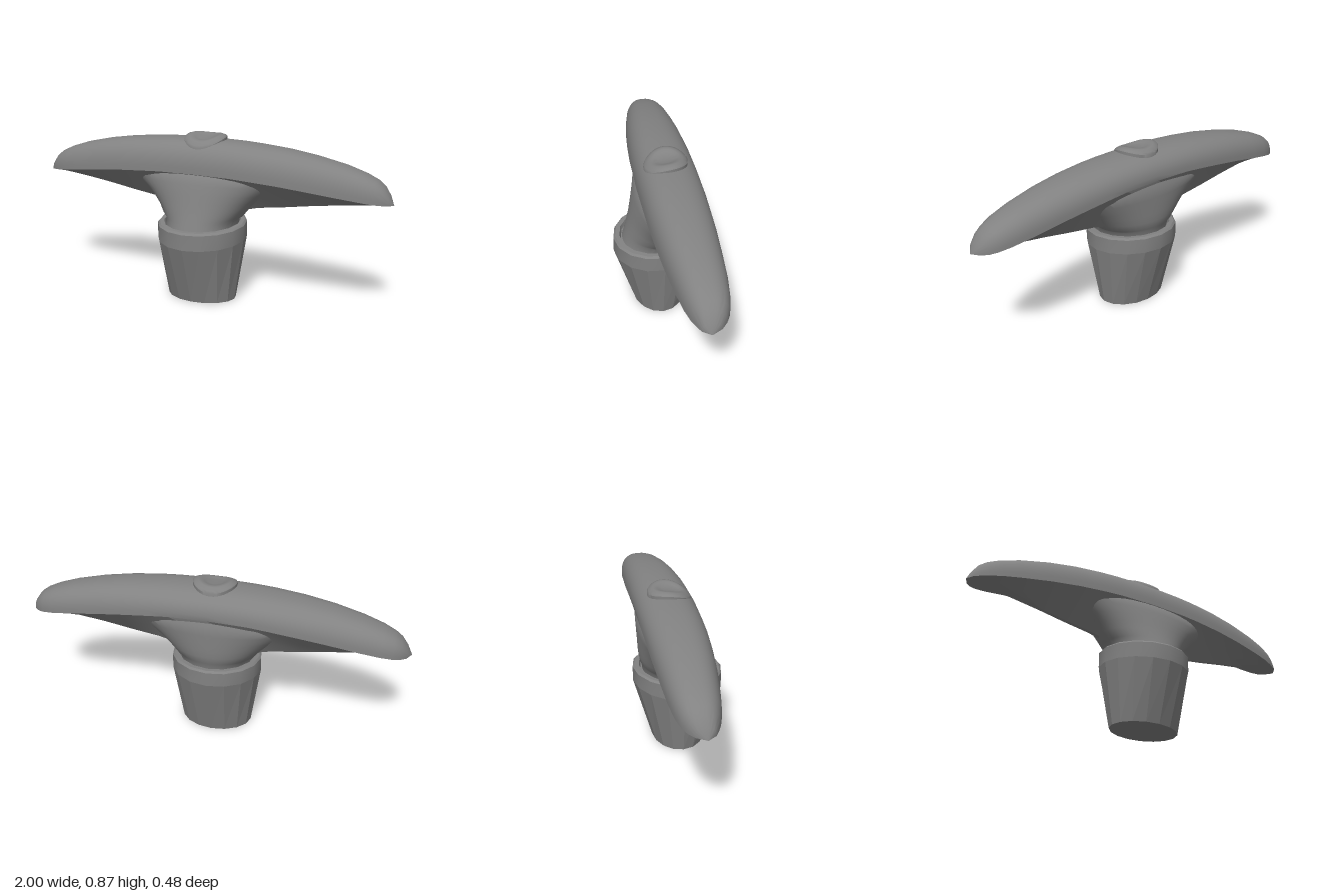
import * as THREE from 'three';
import { toCreasedNormals } from 'three/addons/utils/BufferGeometryUtils.js';

// Skin a list of closed rings, each an array of [x, y, z].
function loft(rings, crease) {
  const n = rings[0].length, index = [];
  for (let i = 0; i < rings.length - 1; i++) {
    for (let j = 0; j < n; j++) {
      const k = (j + 1) % n, a = i * n, b = a + n;
      index.push(a + j, b + j, a + k, b + j, b + k, a + k);
    }
  }
  const g = new THREE.BufferGeometry();
  g.setAttribute('position', new THREE.Float32BufferAttribute(rings.flat(2), 3));
  g.setIndex(index);
  return toCreasedNormals(g, crease);
}

// Horizontal oval ring; tilt raises the back.
function oval(y, rx, zFront, zBack, tilt, sides) {
  const ring = [], zc = (zFront + zBack) / 2, rz = (zFront - zBack) / 2;
  for (let i = 0; i < sides; i++) {
    const a = (i / sides) * Math.PI * 2;
    const z = zc + rz * Math.sin(a);
    ring.push([rx * Math.cos(a), y - tilt * z, z]);
  }
  return ring;
}

// Cross-section of the grip: rounded dome above, narrow keel below.
function gripSection([x, zf, zb, yf, yb, top, keel]) {
  const ring = [], steps = 24, e = 2 / 2.5;
  const zc = (zf + zb) / 2, w = (zf - zb) / 2;
  for (let i = 0; i <= steps; i++) {
    const a = (i / steps) * Math.PI, c = Math.cos(a), s = Math.max(0, Math.sin(a));
    const u = Math.sign(c) * Math.abs(c) ** e;
    const edge = (yf + yb) / 2 + ((yf - yb) / 2) * u;
    ring.push([x, edge + (top - edge) * s ** e, zc + w * u]);
  }
  const k = -0.06, r = w * 0.07;
  const mix = (p, q, t) => p + (q - p) * t;
  ring.push([x, mix(yb, keel, 0.5), mix(zb, k, 0.5)]);
  ring.push([x, keel, k - r], [x, keel, k + r]);
  ring.push([x, mix(yf, keel, 0.5), mix(zf, k, 0.5)]);
  return ring;
}

export function createModel() {
  const group = new THREE.Group();
  const smooth = new THREE.MeshStandardMaterial({ color: 0x828282, side: THREE.DoubleSide });
  const faceted = smooth.clone();
  faceted.flatShading = true;
  const add = (name, geometry, material = smooth) => {
    const mesh = new THREE.Mesh(geometry, material);
    mesh.name = name;
    group.add(mesh);
    return mesh;
  };

  // Crossbar grip: x, front z, back z, front edge y, back edge y, top y, keel y
  const half = [
    [0, 0.107, -0.21, 0.682, 0.72, 0.85, 0.475],
    [0.2, 0.103, -0.209, 0.679, 0.715, 0.845, 0.48],
    [0.3, 0.1, -0.207, 0.673, 0.705, 0.839, 0.505],
    [0.45, 0.09, -0.204, 0.662, 0.688, 0.825, 0.526],
    [0.6, 0.075, -0.197, 0.646, 0.667, 0.802, 0.55],
    [0.75, 0.053, -0.188, 0.627, 0.642, 0.769, 0.57],
    [0.85, 0.034, -0.175, 0.614, 0.624, 0.737, 0.581],
    [0.91, 0.015, -0.158, 0.605, 0.612, 0.71, 0.588],
    [0.945, -0.002, -0.138, 0.601, 0.604, 0.685, 0.592],
    [0.975, -0.02, -0.11, 0.598, 0.599, 0.643, 0.595],
    [1, -0.06, -0.06, 0.595, 0.595, 0.595, 0.595],
  ];
  const mirrored = half.slice(1).reverse().map(([x, ...rest]) => [-x, ...rest]);
  add('grip', loft([...mirrored, ...half].map(gripSection), 0.6));

  // Stem flaring widely into the underside of the grip
  const stem = [
    [0.395, 0.195, 0.19, -0.185, 0.06],
    [0.44, 0.2, 0.175, -0.19, 0.04],
    [0.456, 0.222, 0.169, -0.197, 0.02],
    [0.5, 0.255, 0.155, -0.204, 0],
    [0.54, 0.295, 0.145, -0.206, 0],
    [0.58, 0.34, 0.135, -0.207, 0],
    [0.63, 0.415, 0.122, -0.208, 0],
    [0.68, 0.5, 0.105, -0.208, 0],
    [0.72, 0.4, 0.06, -0.19, 0],
  ];
  add('stem', loft(stem.map((s) => oval(...s, 48)), 0.9));

  // Faceted tapering plug with an oval foot
  const sides = 16;
  add('plug', loft([
    oval(0, 0, 0, 0, 0, sides),
    oval(0, 0.19, 0.14, -0.14, 0, sides),
    oval(0.33, 0.238, 0.238, -0.238, 0.085, sides),
  ], 0.1), faceted);

  // Smooth slanted collar with a bevelled rim and shallow recess
  const collar = [[0.33, 0.238], [0.41, 0.238], [0.42, 0.228], [0.42, 0.205], [0.4, 0.198], [0.4, 0]];
  add('collar', loft(collar.map(([y, r]) => oval(y, r, r, -r, y < 0.35 ? 0.085 : 0.075, sides)), 0.5));

  // Dished button on top of the grip, bent over front to back
  const profile = [[0.112, -0.04], [0.112, 0.009], [0.106, 0.016], [0.085, 0.022], [0.068, 0.02],
    [0.055, 0.012], [0.035, 0.006], [0, 0.004]].map(([r, y]) => new THREE.Vector2(r, y));
  const cap = new THREE.LatheGeometry(profile, 40);
  const p = cap.attributes.position;
  for (let i = 0; i < p.count; i++) p.setY(i, p.getY(i) - 2.4 * (p.getZ(i) + 0.03) ** 2);
  add('button', toCreasedNormals(cap, 0.6)).position.set(0, 0.853, -0.041);
  return group;
}
